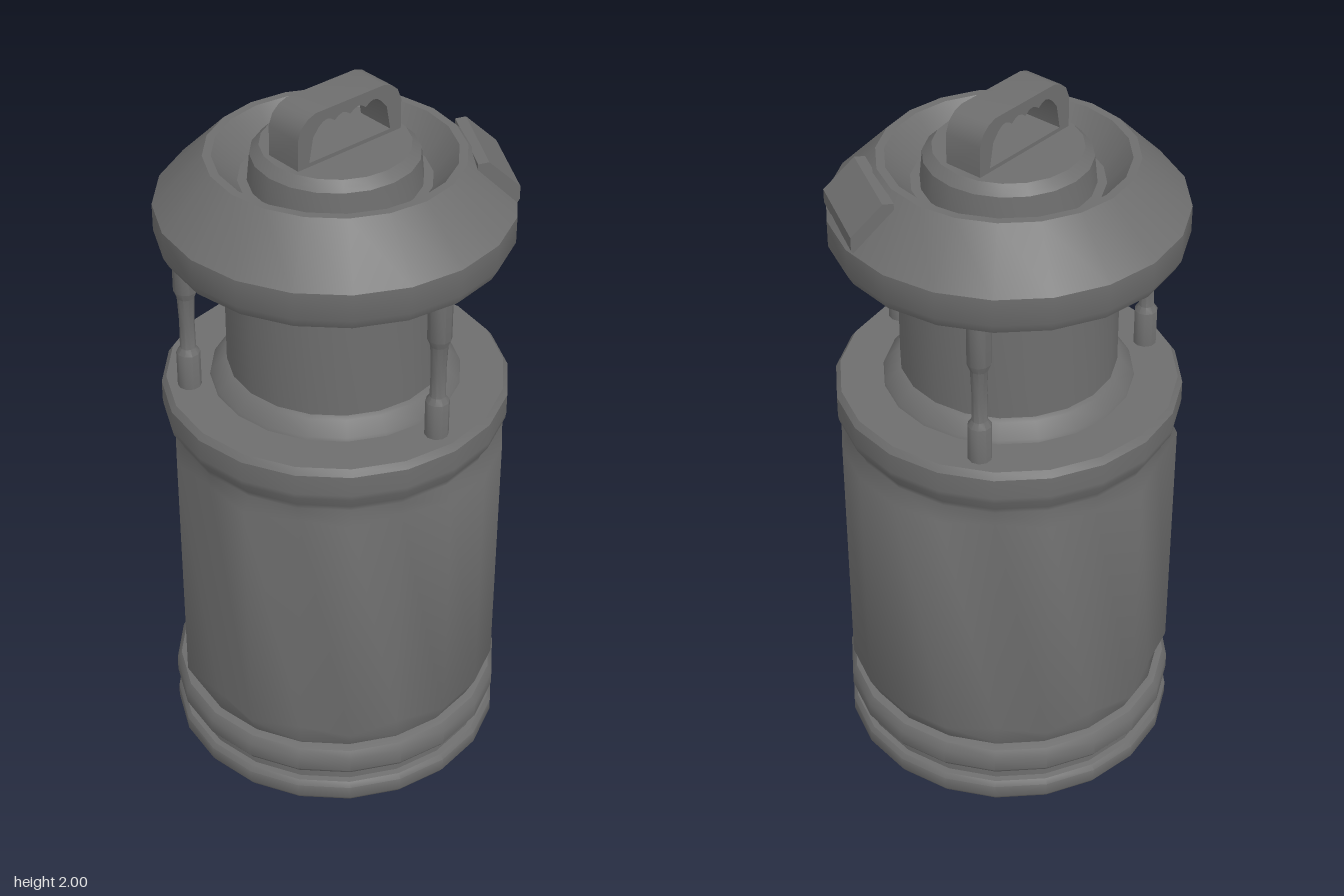
import * as THREE from 'three';
import { toCreasedNormals } from 'three/addons/utils/BufferGeometryUtils.js';

const SIDES = 20;
const material = new THREE.MeshStandardMaterial({ color: 0x6e6e6e });

function add(parent, name, geometry, crease = 0.68) {
  const mesh = new THREE.Mesh(toCreasedNormals(geometry, crease), material);
  mesh.name = name;
  parent.add(mesh);
  return mesh;
}

// Profile points are [radius, height], listed from bottom to top.
function turned(profile, sides = SIDES) {
  return new THREE.LatheGeometry(profile.map(([r, y]) => new THREE.Vector2(r, y)), sides);
}

// Side outline in the xy plane, extruded to a width centred on z = 0.
function slab(points, width, hole) {
  const shape = new THREE.Shape(points.map(([x, y]) => new THREE.Vector2(x, y)));
  if (hole) shape.holes.push(new THREE.Path(hole.map(([x, y]) => new THREE.Vector2(x, y))));
  return new THREE.ExtrudeGeometry(shape, { depth: width, bevelEnabled: false }).translate(0, 0, -width / 2);
}

// Grip wall flowing into the shoulder: every second vertex of the wall is
// pulled in to form broad flats, leaving the back quarter on the +x side round.
function gripWall() {
  const geometry = turned([
    [0.405, 0.29], [0.412, 0.305], [0.434, 0.35], [0.434, 1.045], [0.412, 1.085],
    [0.416, 1.1], [0.438, 1.135], [0.44, 1.15], [0.44, 1.205],
  ]);
  const p = geometry.attributes.position;
  const step = (Math.PI * 2) / SIDES;
  for (let i = 0; i < p.count; i++) {
    const k = (Math.round(Math.atan2(p.getX(i), p.getZ(i)) / step) + SIDES) % SIDES;
    const y = p.getY(i);
    const round = k > 4 && k <= 10;
    if (k % 2 === 0 && !round && y > 0.32 && y < 1.07) {
      p.setXYZ(i, p.getX(i) * 0.942, y, p.getZ(i) * 0.942);
    }
  }
  return geometry;
}

export function createModel() {
  const group = new THREE.Group();
  group.name = 'lantern';

  // Tapered foot with two raised rings
  add(group, 'base', turned([
    [0, 0], [0.315, 0], [0.43, 0.115], [0.44, 0.13], [0.44, 0.165], [0.43, 0.178],
    [0.415, 0.18], [0.415, 0.212], [0.43, 0.214], [0.44, 0.228], [0.44, 0.27], [0.428, 0.29], [0.4, 0.298], [0, 0.298],
  ]));

  add(group, 'gripWall', gripWall(), 1.3);

  // Flat deck with a bevelled rim
  add(group, 'deck', turned([[0.44, 1.205], [0.428, 1.222], [0, 1.222]]), 0.5);

  // Core cylinder with lower flare and upper collar
  add(group, 'core', turned([
    [0.32, 1.215], [0.315, 1.23], [0.285, 1.262], [0.274, 1.268], [0.274, 1.572],
    [0.285, 1.578], [0.297, 1.59], [0.297, 1.63],
  ]));

  // Three support posts with thicker sockets at both ends
  for (let i = 0; i < 3; i++) {
    const a = Math.PI / 2 + (i * Math.PI * 2) / 3;
    const post = add(group, 'supportPost', turned([
      [0.03, 1.215], [0.03, 1.32], [0.02, 1.335], [0.019, 1.41], [0.022, 1.48], [0.03, 1.5], [0.03, 1.63],
    ], 10));
    post.position.set(0.372 * Math.sin(a), 0, 0.372 * Math.cos(a));
  }

  // Lid with a sunken channel around the centre plug
  add(group, 'lid', turned([
    [0, 1.622], [0.425, 1.622], [0.44, 1.65], [0.44, 1.72], [0.316, 1.845], [0.295, 1.845],
    [0.235, 1.775], [0.212, 1.775], [0.205, 1.845], [0.195, 1.855], [0.182, 1.868], [0, 1.868],
  ]));

  // Raised plate lying along the sloping lid
  const plate = slab([[0.318, 1.8], [0.415, 1.715], [0.424, 1.73], [0.424, 1.765], [0.345, 1.838], [0.318, 1.835]], 0.23);
  add(group, 'lidPlate', plate.rotateY(Math.PI / 3), 0.3);

  // Carry handle with tapering legs, scalloped under the grip
  const outline = [
    [-0.16, 1.86], [0.16, 1.86], [0.16, 1.945], [0.148, 1.975], [0.128, 1.992], [0.105, 2],
    [-0.105, 2], [-0.128, 1.992], [-0.148, 1.975], [-0.16, 1.945],
  ];
  const opening = [[-0.126, 1.878], [-0.114, 1.94]];
  for (let i = 0; i <= 16; i++) {
    const t = i / 16;
    opening.push([-0.096 + 0.192 * t, 1.962 + 0.012 * Math.abs(Math.sin(t * Math.PI * 4))]);
  }
  opening.push([0.114, 1.94], [0.126, 1.878]);
  add(group, 'handle', slab(outline, 0.104, opening).rotateY(Math.PI / 2));

  return group;
}
